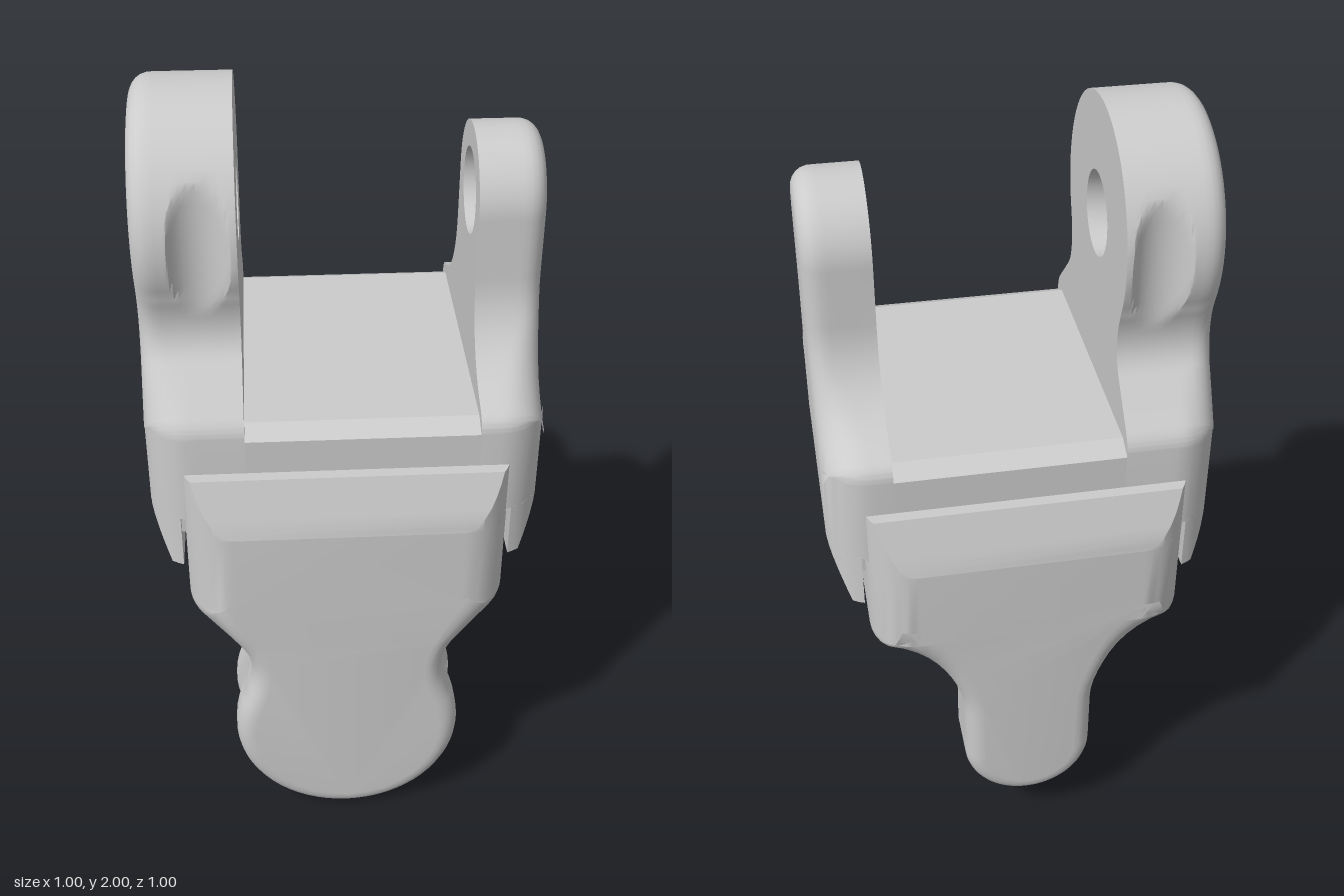
import * as THREE from 'three';
import { toCreasedNormals } from 'three/addons/utils/BufferGeometryUtils.js';

const OUT = 0.5, SIDE = 0.41, EYE_Y = 1.695;
const material = new THREE.MeshStandardMaterial({ color: 0xcccccc });

// how far a rounded outer edge of radius r has drawn in at distance x
function inset(x, r) {
  const d = x - (OUT - r);
  return d <= 0 ? 0 : r - Math.sqrt(Math.max(0, r * r - d * d));
}

function finish(positions, name) {
  const g = new THREE.BufferGeometry();
  g.setAttribute('position', new THREE.Float32BufferAttribute(positions, 3));
  const mesh = new THREE.Mesh(toCreasedNormals(g, 0.55), material);
  mesh.name = name;
  return mesh;
}

// half outlines (z, y), from the foot of the shoulder up to the crown
function wideOutline() {
  const p = new THREE.Path();
  p.moveTo(SIDE, 1).lineTo(SIDE, 1.24);
  p.quadraticCurveTo(SIDE, 1.27, 0.385, 1.295);
  p.lineTo(0.29, 1.39);
  p.bezierCurveTo(0.25, 1.43, 0.245, 1.49, 0.2746, 1.562);
  p.absarc(0, EYE_Y, 0.305, -0.45, Math.PI / 2, false);
  return p;
}
function narrowOutline() {
  const p = new THREE.Path();
  p.moveTo(SIDE, 1).lineTo(SIDE, 1.235);
  p.quadraticCurveTo(SIDE, 1.27, 0.375, 1.285);
  p.bezierCurveTo(0.25, 1.32, 0.175, 1.42, 0.175, 1.54);
  p.lineTo(0.175, EYE_Y);
  p.absarc(0, EYE_Y, 0.175, 0, Math.PI / 2, false);
  return p;
}

// arm reaching out to +x: flat inner face with a blind pin hole, rounded outer edge
function makeArm(path, inner, grooved, name) {
  const half = path.getPoints(10).filter((p, i, a) => i === 0 || p.distanceTo(a[i - 1]) > 1e-4);
  const outline = half.concat(half.slice(0, -1).reverse().map(p => new THREE.Vector2(-p.x, p.y)));
  const n = outline.length;
  const inward = outline.map((p, i) => {
    if (i === 0 || i === n - 1) return new THREE.Vector2(-Math.sign(p.x), 0);
    const t = outline[i + 1].clone().sub(outline[i - 1]).normalize();
    return new THREE.Vector2(-t.y, t.x);
  });

  const xs = [inner];
  if (grooved) for (let i = 0; i <= 12; i++) xs.push(0.34 - 0.075 * Math.cos(i * Math.PI / 12));
  for (let i = 0; i <= 9; i++) {
    const x = OUT - 0.12 * (1 - Math.sin(i * Math.PI / 18));
    if (x > xs[xs.length - 1] + 0.004 || i === 9) xs.push(x);
  }

  const rings = xs.map(x => outline.map((p, i) => {
    const r = THREE.MathUtils.lerp(0.12, 0.05, THREE.MathUtils.smoothstep(p.y, 1.24, 1.45));
    const q = p.clone().addScaledVector(inward[i], inset(x, r));
    // upright scoop in each flank of the wide eye
    const d = x - 0.34;
    if (grooved && p.y > 1.5 && Math.abs(d) < 0.0751) {
      const limit = 0.345 - Math.sqrt(0.085 ** 2 - d * d);
      q.x = THREE.MathUtils.clamp(q.x, -limit, limit);
    }
    return q;
  }));

  const pos = [];
  const put = (x, p) => pos.push(x, p.y, p.x);
  const tri = (a, b, c) => { put(...a); put(...b); put(...c); };
  const cap = (x, contour, holes, outward) => {
    const all = contour.concat(...holes);
    for (const [a, b, c] of THREE.ShapeUtils.triangulateShape(contour, holes)) {
      if (outward) tri([x, all[a]], [x, all[c]], [x, all[b]]);
      else tri([x, all[a]], [x, all[b]], [x, all[c]]);
    }
  };

  // edge wall
  for (let k = 0; k < xs.length - 1; k++) {
    for (let i = 0; i < n - 1; i++) {
      const a = [xs[k], rings[k][i]], b = [xs[k + 1], rings[k + 1][i]];
      const c = [xs[k + 1], rings[k + 1][i + 1]], d = [xs[k], rings[k][i + 1]];
      tri(a, b, c);
      tri(a, c, d);
    }
  }
  // faces and pin hole
  const hole = [], floor = inner + 0.08;
  for (let j = 0; j < 28; j++) {
    const a = j * Math.PI / 14;
    hole.push(new THREE.Vector2(0.11 * Math.cos(a), EYE_Y + 0.11 * Math.sin(a)));
  }
  cap(OUT, rings[rings.length - 1], [], true);
  cap(inner, rings[0], [hole.slice().reverse()], false);
  cap(floor, hole, [], false);
  hole.forEach((h, j) => {
    const g = hole[(j + 1) % hole.length];
    tri([inner, h], [inner, g], [floor, g]);
    tri([inner, h], [floor, g], [floor, h]);
  });
  return finish(pos, name);
}

// tapered skirt hanging below an arm, set slightly off the other yoke
function makeSkirt(name) {
  const xs = [0.42, 0.435, 0.45, 0.46, 0.47, 0.48, 0.49, 0.496, 0.5];
  const rings = xs.map(x => {
    const z = SIDE - inset(x, 0.12);
    const y = x <= 0.45 ? 0.85 : 1 - (OUT - x) * 3;
    return [[x, 1, z], [x, y, z], [x, y, -z], [x, 1, -z]];
  });
  const pos = [];
  const quad = (a, b, c, d) => pos.push(...a, ...b, ...c, ...a, ...c, ...d);
  for (let k = 0; k < xs.length - 1; k++) {
    for (let i = 0; i < 4; i++) {
      const j = (i + 1) % 4;
      quad(rings[k][i], rings[k][j], rings[k + 1][j], rings[k + 1][i]);
    }
  }
  quad(rings[0][3], rings[0][2], rings[0][1], rings[0][0]);
  return finish(pos, name);
}

function makeYoke(name) {
  const yoke = new THREE.Group();
  yoke.name = name;

  // block between the arms, with chamfered long edges
  const s = new THREE.Shape();
  s.moveTo(-SIDE, 0.95).lineTo(SIDE, 0.95).lineTo(SIDE, 1.235);
  s.lineTo(0.36, 1.26).lineTo(-0.36, 1.26).lineTo(-SIDE, 1.235);
  const blockGeo = new THREE.ExtrudeGeometry(s, { depth: 0.58, bevelEnabled: false });
  blockGeo.rotateY(Math.PI / 2).translate(-0.25, 0, 0);
  const block = new THREE.Mesh(blockGeo, material);
  block.name = 'block';

  // band joining the skirts to the core
  const band = new THREE.Mesh(new THREE.BoxGeometry(0.86, 0.12, 0.76), material);
  band.name = 'joiningBand';
  band.position.y = 1;

  const wide = makeArm(wideOutline(), 0.25, true, 'wideArm');
  wide.rotation.y = Math.PI;
  const wideSkirt = makeSkirt('wideArmSkirt');
  wideSkirt.rotation.y = Math.PI;
  const narrow = makeArm(narrowOutline(), 0.33, false, 'narrowArm');

  yoke.add(block, band, wide, wideSkirt, narrow, makeSkirt('narrowArmSkirt'));
  return yoke;
}

export function createModel() {
  const model = new THREE.Group();
  model.name = 'doubleYoke';
  const upper = makeYoke('upperYoke');
  // the lower yoke is the upper one turned over and a quarter turn round
  const lower = makeYoke('lowerYoke');
  lower.quaternion.setFromAxisAngle(new THREE.Vector3(1, 0, -1).normalize(), Math.PI);
  lower.position.y = 2;
  model.add(upper, lower);
  return model;
}
